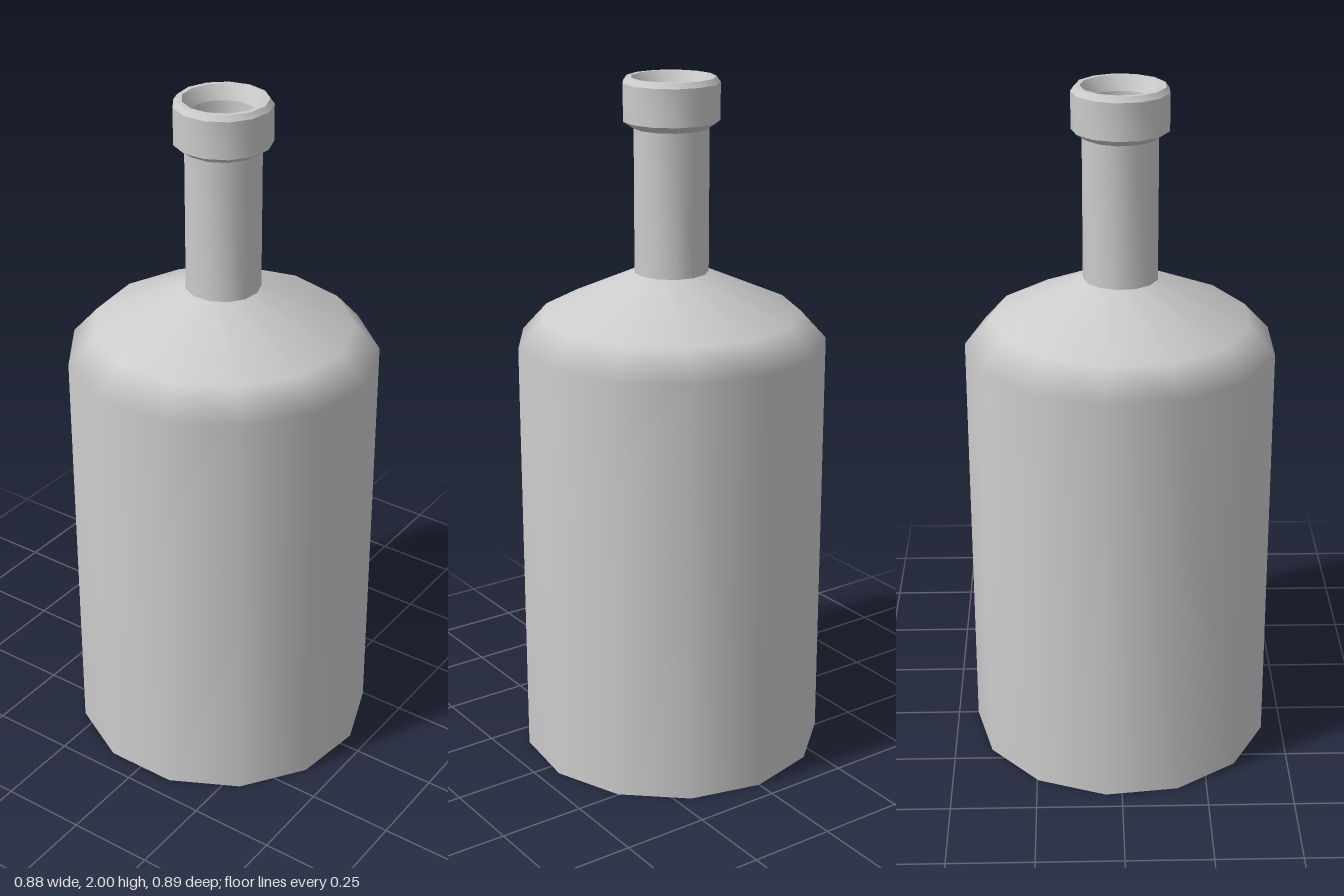
import * as THREE from 'three';
import { mergeVertices } from 'three/addons/utils/BufferGeometryUtils.js';

const SIDES = 13;

// Turns a [radius, height] profile into a smooth, seamless ring of faces.
// Profiles run upwards on the outside, downwards on the inside.
function turned(name, profile, material) {
  const points = profile.map(([r, y]) => new THREE.Vector2(r, y));
  let geometry = new THREE.LatheGeometry(points, SIDES, Math.PI / 2);
  geometry.deleteAttribute('uv');
  geometry.deleteAttribute('normal');
  geometry = mergeVertices(geometry, 1e-4);
  geometry.computeVertexNormals();
  const mesh = new THREE.Mesh(geometry, material);
  mesh.name = name;
  return mesh;
}

export function createModel() {
  const bottle = new THREE.Group();
  bottle.name = 'bottle';
  const glass = new THREE.MeshStandardMaterial({ color: 0xcccccc, side: THREE.DoubleSide });

  // Separate rings keep the edges between them sharp
  const parts = {
    base: [[0, 0], [0.446, 0]],
    bodyAndShoulder: [[0.446, 0], [0.446, 1.25], [0.373, 1.33], [0.107, 1.45]],
    neck: [[0.107, 1.45], [0.107, 1.86]],
    collarUnderside: [[0.107, 1.86], [0.137, 1.88]],
    collar: [[0.137, 1.88], [0.137, 1.985]],
    collarBevel: [[0.137, 1.985], [0.126, 2]],
    rim: [[0.126, 2], [0.112, 2]],
    mouth: [[0.112, 2], [0.091, 1.96]],
    innerNeck: [[0.091, 1.96], [0.091, 1.44]],
    innerBody: [[0.091, 1.44], [0.36, 1.315], [0.426, 1.24], [0.426, 0.02]],
    innerFloor: [[0.426, 0.02], [0, 0.02]],
  };
  for (const [name, profile] of Object.entries(parts)) {
    bottle.add(turned(name, profile, glass));
  }

  // An odd number of sides leaves the outline slightly off centre
  for (const mesh of bottle.children) mesh.position.x = -0.006;
  return bottle;
}
